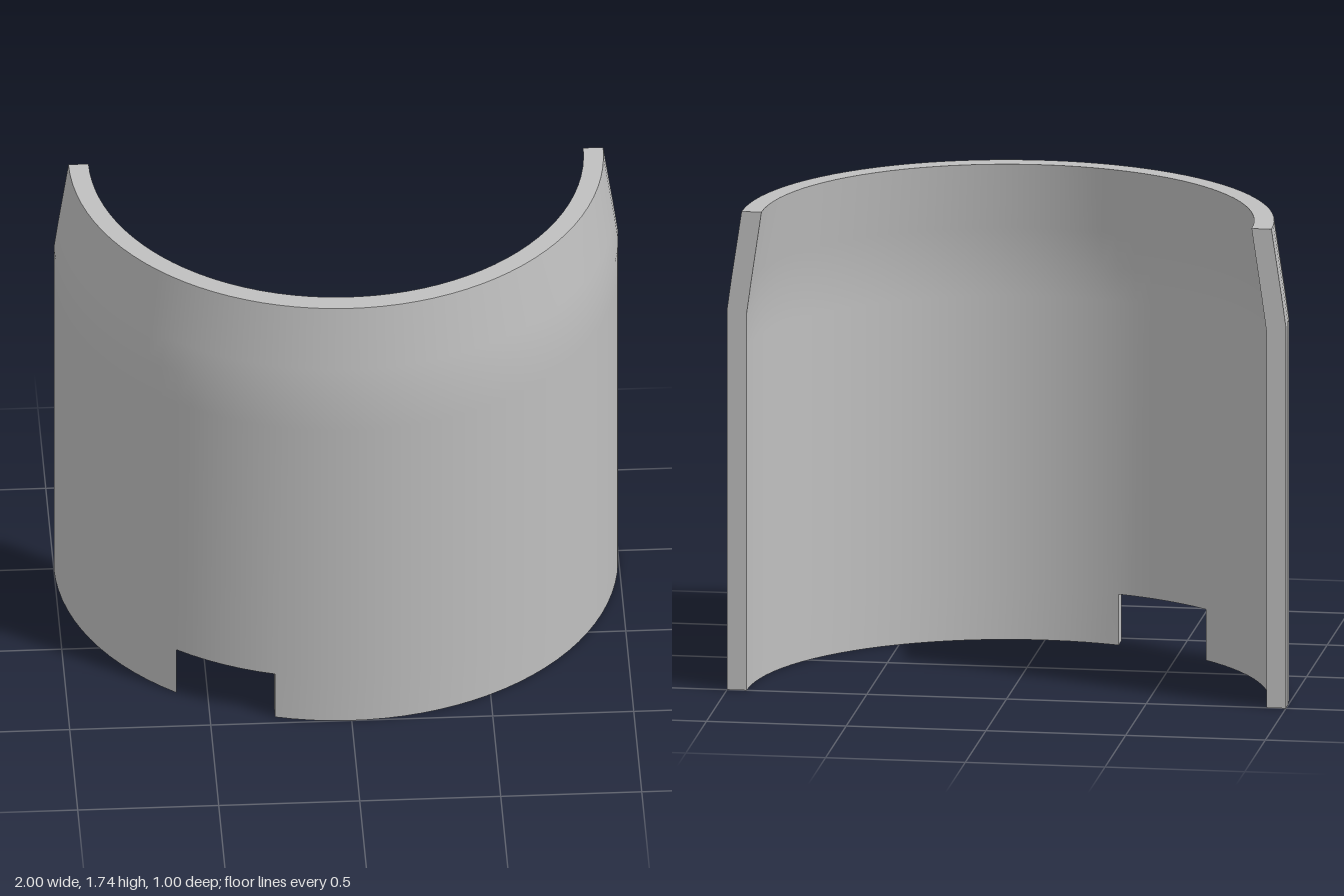
import * as THREE from 'three';
import { toCreasedNormals } from 'three/addons/utils/BufferGeometryUtils.js';

// Shell profile, bottom to top: outer radius and height, inner radius and height
const PROFILE = [
  { outer: [1, 0], inner: [0.93, 0] },
  { outer: [1, 0.185], inner: [0.93, 0.185] },
  { outer: [1, 1.25], inner: [0.93, 1.25] },
  { outer: [1, 1.385], inner: [0.93, 1.37] },
  { outer: [0.984, 1.5], inner: [0.912, 1.5] },
  { outer: [0.948, 1.74], inner: [0.877, 1.74] },
];
const AXIS_Z = -0.5;
const NOTCH_X = [-0.27, -0.61];
const SEGMENTS = [28, 6, 14]; // before, across and after the notch

// Angles around one wall; the notch sides fall at the same x on both walls
function columnAngles(radius) {
  const stops = [0, ...NOTCH_X.map((x) => Math.acos(x / radius)), Math.PI];
  const angles = [0];
  SEGMENTS.forEach((n, s) => {
    for (let i = 1; i <= n; i++) angles.push(stops[s] + ((stops[s + 1] - stops[s]) * i) / n);
  });
  return angles;
}

function shellGeometry() {
  const angles = { outer: columnAngles(1), inner: columnAngles(0.93) };
  const columns = angles.outer.length - 1;
  const notchStart = SEGMENTS[0];
  const notchEnd = notchStart + SEGMENTS[1];
  const top = PROFILE.length - 1;
  const positions = [];

  const point = (side, col, row) => {
    const [r, y] = PROFILE[row][side];
    const a = angles[side][col];
    return [r * Math.cos(a), y, AXIS_Z + r * Math.sin(a)];
  };
  const quad = (a, b, c, d) => positions.push(...a, ...b, ...c, ...a, ...c, ...d);

  for (let c = 0; c < columns; c++) {
    const first = c >= notchStart && c < notchEnd ? 1 : 0;
    // Outer and inner walls
    for (let r = first; r < top; r++) {
      quad(point('outer', c + 1, r), point('outer', c, r), point('outer', c, r + 1), point('outer', c + 1, r + 1));
      quad(point('inner', c, r), point('inner', c + 1, r), point('inner', c + 1, r + 1), point('inner', c, r + 1));
    }
    // Bottom edge (or notch ceiling) and top rim
    quad(point('outer', c, first), point('outer', c + 1, first), point('inner', c + 1, first), point('inner', c, first));
    quad(point('inner', c, top), point('inner', c + 1, top), point('outer', c + 1, top), point('outer', c, top));
  }

  // Faces across the thickness of the wall
  const crossFace = (col, rows, from, to) => {
    for (let r = 0; r < rows; r++) {
      quad(point(from, col, r), point(to, col, r), point(to, col, r + 1), point(from, col, r + 1));
    }
  };
  crossFace(0, top, 'outer', 'inner');
  crossFace(columns, top, 'inner', 'outer');
  crossFace(notchStart, 1, 'inner', 'outer');
  crossFace(notchEnd, 1, 'outer', 'inner');

  const geometry = new THREE.BufferGeometry();
  geometry.setAttribute('position', new THREE.Float32BufferAttribute(positions, 3));
  return toCreasedNormals(geometry, 0.5);
}

export function createModel() {
  const grey = new THREE.MeshStandardMaterial({ color: 0xbfbfbf });
  grey.name = 'light grey';

  const group = new THREE.Group();
  group.name = 'halfSleeve';
  const shell = new THREE.Mesh(shellGeometry(), grey);
  shell.name = 'notchedShell';
  group.add(shell);
  return group;
}
